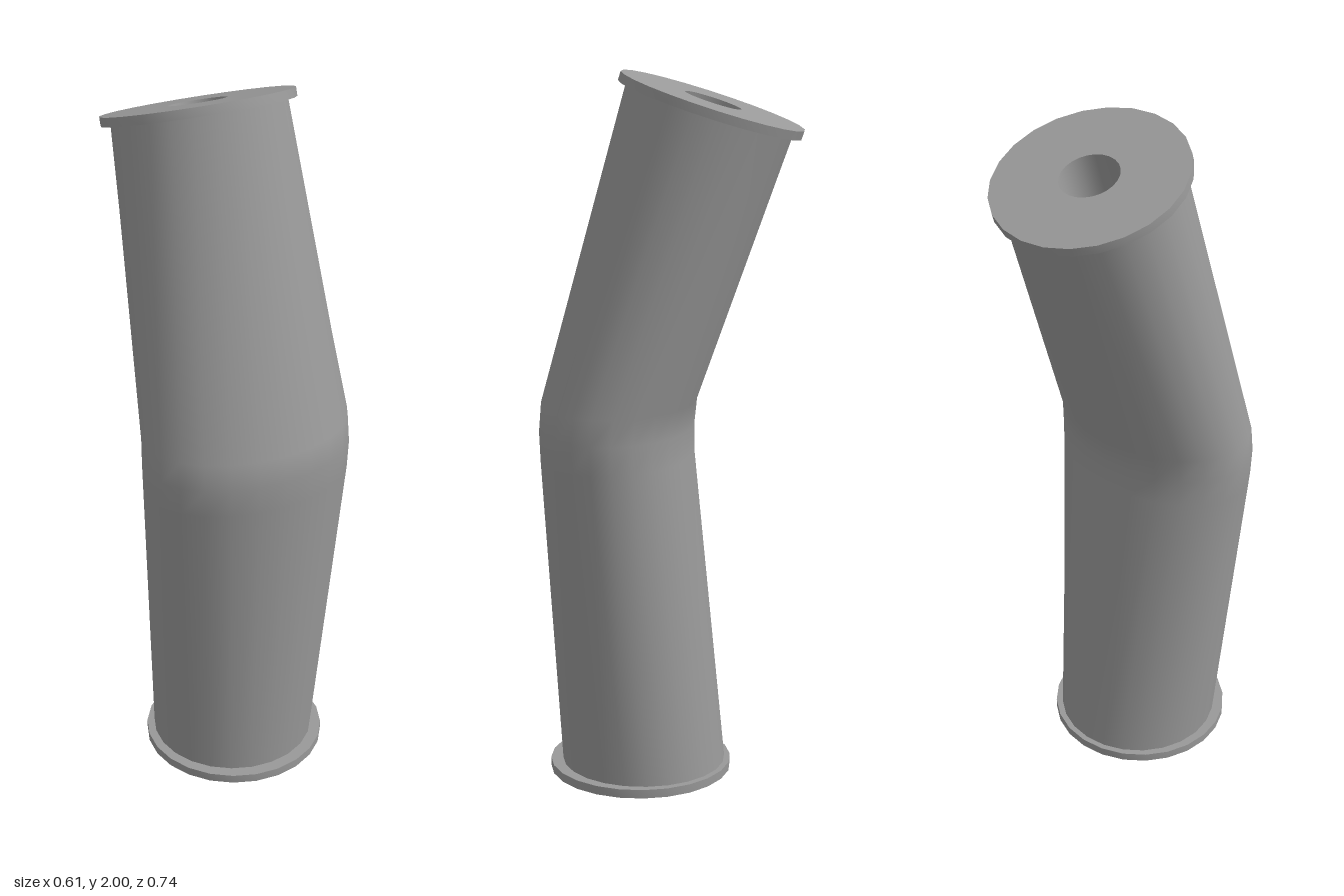
import * as THREE from 'three';
import { toCreasedNormals } from 'three/addons/utils/BufferGeometryUtils.js';

const SIDES = 24;
const TILT = THREE.MathUtils.degToRad(18);
const PLATE_RADIUS = 0.262, PLATE_THICKNESS = 0.025, BORE = 0.08;

// Smooth open skin through elliptical rings: [y, z, radius x, radius z, tilt]
function loft(rings) {
  const positions = [], index = [];
  rings.forEach(([y, z, rx, rz, tilt], r) => {
    for (let i = 0; i < SIDES; i++) {
      const a = (i / SIDES) * Math.PI * 2;
      const d = rz * Math.cos(a);
      positions.push(rx * Math.sin(a), y + d * Math.sin(tilt), z + d * Math.cos(tilt));
      if (r === rings.length - 1) continue;
      const p = r * SIDES + i, q = r * SIDES + ((i + 1) % SIDES);
      index.push(p, q, q + SIDES, p, q + SIDES, p + SIDES);
    }
  });
  const geometry = new THREE.BufferGeometry();
  geometry.setAttribute('position', new THREE.Float32BufferAttribute(positions, 3));
  geometry.setIndex(index);
  geometry.computeVertexNormals();
  return geometry;
}

// Round end plate with a centre hole, standing on its local y = 0
function plateGeometry() {
  const profile = [
    [BORE, 0], [PLATE_RADIUS, 0], [PLATE_RADIUS, PLATE_THICKNESS], [BORE, PLATE_THICKNESS],
  ].map(([x, y]) => new THREE.Vector2(x, y));
  return toCreasedNormals(new THREE.LatheGeometry(profile, SIDES), 0.6);
}

export function createModel() {
  const group = new THREE.Group();
  const material = new THREE.MeshStandardMaterial({ color: 0x999999 });
  const add = (name, geometry) => {
    const mesh = new THREE.Mesh(geometry, material);
    mesh.name = name;
    group.add(mesh);
    return mesh;
  };

  // Bent body, widest across the knee, whose rings stay level
  add('body', loft([
    [0.02, 0.078, 0.236, 0.236, 0],
    [0.93, 0.151, 0.303, 0.213, 0],
    [1.01, 0.153, 0.306, 0.214, 0],
    [1.085, 0.146, 0.303, 0.215, 0],
    [1.898, -0.111, 0.236, 0.238, TILT],
  ]));

  // Through hole along the bent axis; rings run downwards so it faces inwards
  add('bore', loft([
    [1.92, -0.12, BORE, BORE, TILT],
    [1.085, 0.146, BORE, BORE, 0],
    [0.93, 0.151, BORE, BORE, 0],
    [0, 0.088, BORE, BORE, 0],
  ]));

  // End plates
  add('bottomPlate', plateGeometry()).position.set(0, 0, 0.088);
  const top = add('topPlate', plateGeometry());
  top.position.set(0, 1.92 - PLATE_THICKNESS * Math.cos(TILT), -0.12 + PLATE_THICKNESS * Math.sin(TILT));
  top.rotation.x = -TILT;

  return group;
}
